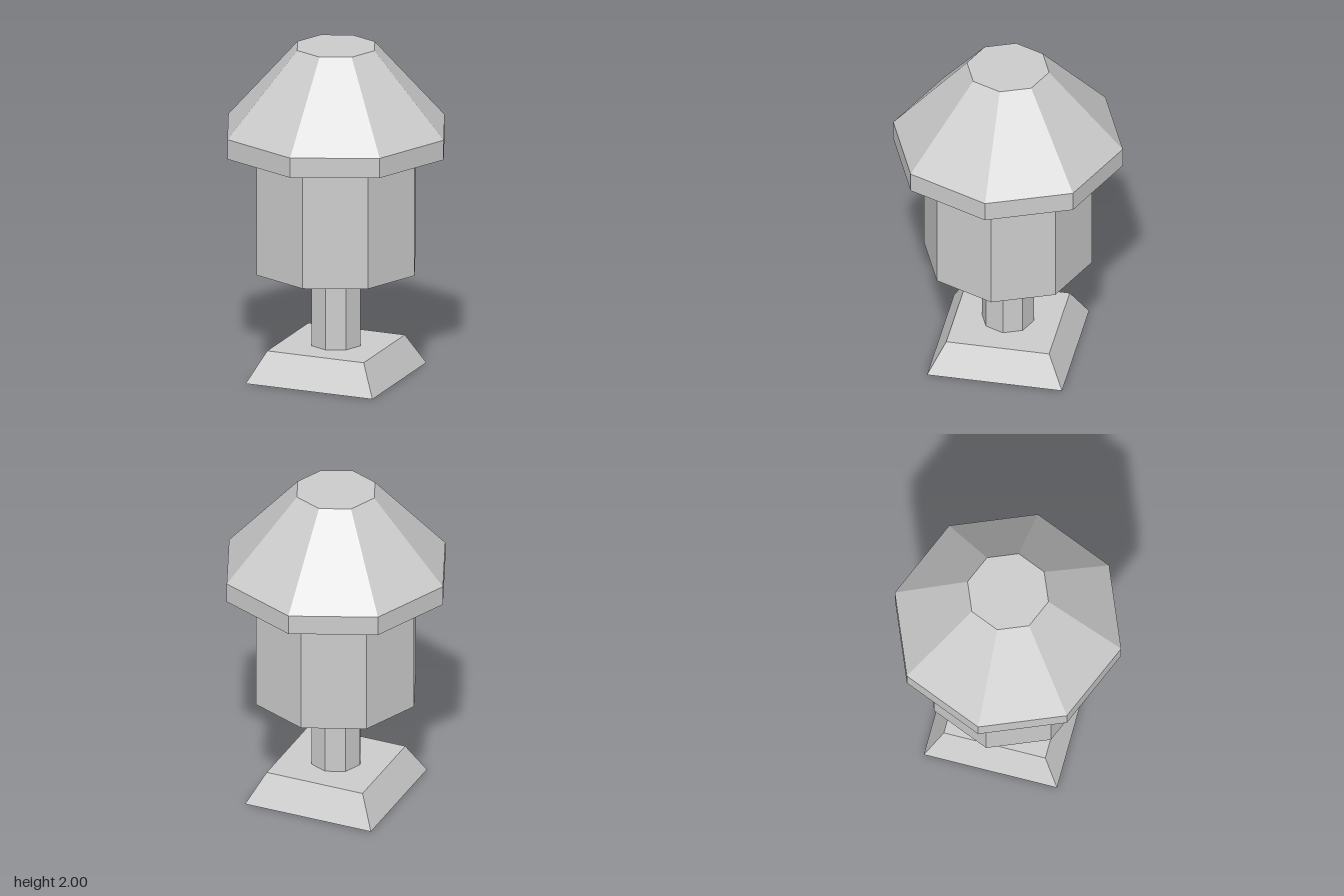
import * as THREE from 'three';

export function createModel() {
  const model = new THREE.Group();
  const material = new THREE.MeshStandardMaterial({ color: 0xcccccc, flatShading: true });

  // Regular prism or frustum standing between two heights
  function addPrism(name, rBottom, rTop, y0, y1, sides = 8, turn = 0) {
    const geometry = new THREE.CylinderGeometry(rTop, rBottom, y1 - y0, sides, 1, false, turn);
    const mesh = new THREE.Mesh(geometry, material);
    mesh.name = name;
    mesh.position.y = (y0 + y1) / 2;
    model.add(mesh);
  }

  // Square tapered foot, sides parallel to the axes
  addPrism('base', 0.403 * Math.SQRT2, 0.307 * Math.SQRT2, 0, 0.185, 4, Math.PI / 4);

  // Octagonal parts, corners on the axes
  addPrism('post', 0.155, 0.155, 0.185, 0.655);
  addPrism('body', 0.5, 0.5, 0.655, 1.385);
  addPrism('roofRim', 0.685, 0.685, 1.385, 1.505);
  addPrism('roof', 0.685, 0.245, 1.505, 2);

  return model;
}
